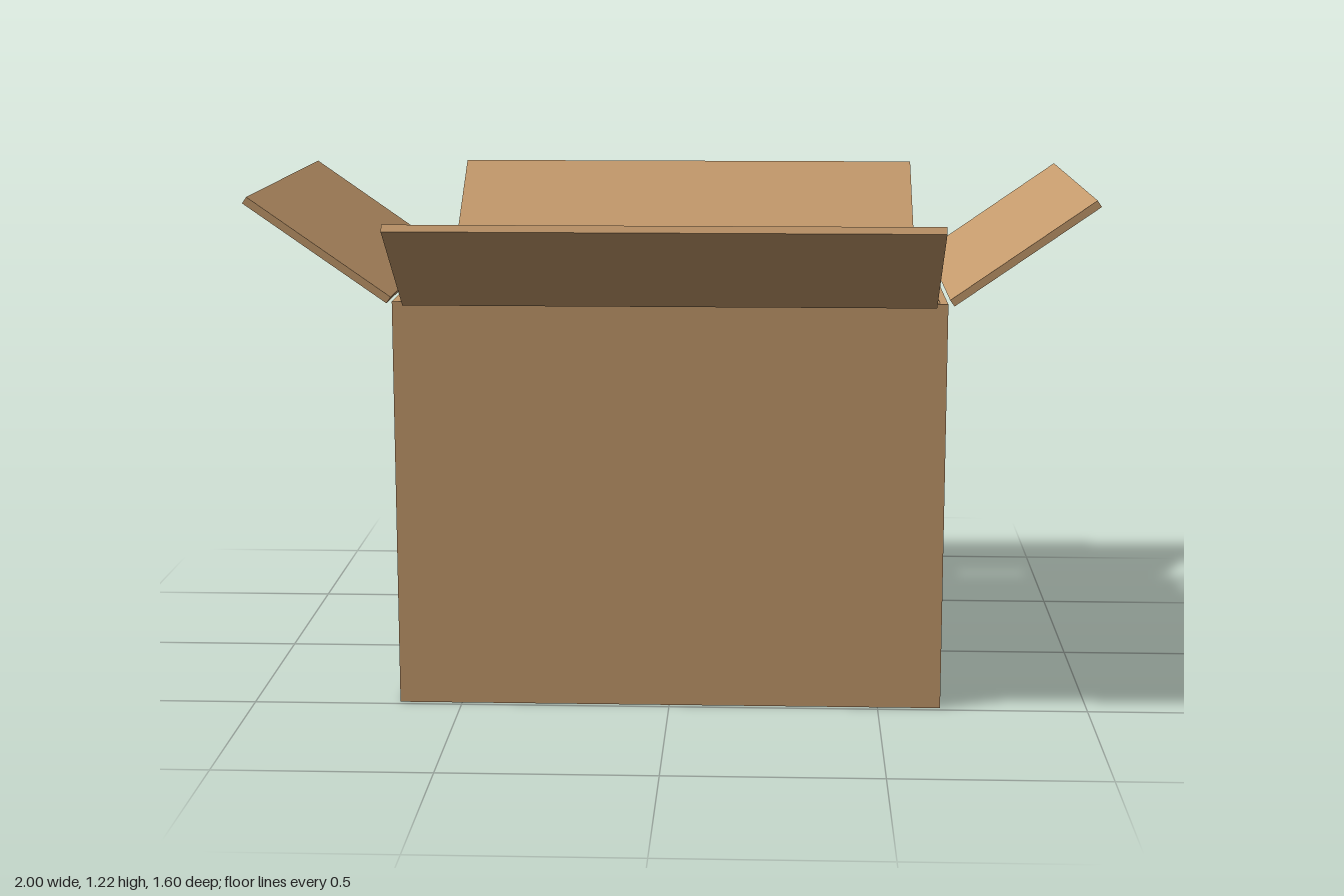
import * as THREE from 'three';

const T = 0.018; // board thickness
const W = 1.3, D = 0.97, H = 0.977; // box body
const TILT = THREE.MathUtils.degToRad(35);

export function createModel() {
  const group = new THREE.Group();
  group.name = 'openBox';
  const cardboard = new THREE.MeshStandardMaterial({ color: 0xc49a6c });
  cardboard.name = 'cardboard';

  const board = (name, w, h, d, x, y, z, parent = group) => {
    const mesh = new THREE.Mesh(new THREE.BoxGeometry(w, h, d), cardboard);
    mesh.name = name;
    mesh.position.set(x, y, z);
    parent.add(mesh);
  };

  // Flap hinged just outside a wall; it leans out along its own +x, turned about y
  const flap = (name, turn, hinge, length, width) => {
    const pivot = new THREE.Group();
    pivot.name = name + 'Hinge';
    pivot.rotation.y = turn;
    const leaf = new THREE.Group();
    leaf.name = name + 'Tilt';
    leaf.position.set(hinge + T * Math.sin(TILT), 0.97, 0);
    leaf.rotation.z = TILT;
    board(name, length, T, width, length / 2, T / 2, 0, leaf);
    pivot.add(leaf);
    group.add(pivot);
  };

  // Floor and four walls
  board('floor', W - 2 * T, T, D - 2 * T, 0, T / 2, 0);
  for (const [side, s] of [['front', 1], ['back', -1]]) {
    board(side + 'Wall', W, H, T, 0, H / 2, s * (D - T) / 2);
    flap(side + 'Flap', -s * Math.PI / 2, 0.49, 0.363, 1.246);
  }
  for (const [side, s] of [['left', 1], ['right', -1]]) {
    board(side + 'Wall', T, H, D - 2 * T, s * (W - T) / 2, H / 2, 0);
    flap(side + 'Flap', s > 0 ? 0 : Math.PI, 0.655, 0.408, 0.936);
  }
  return group;
}
